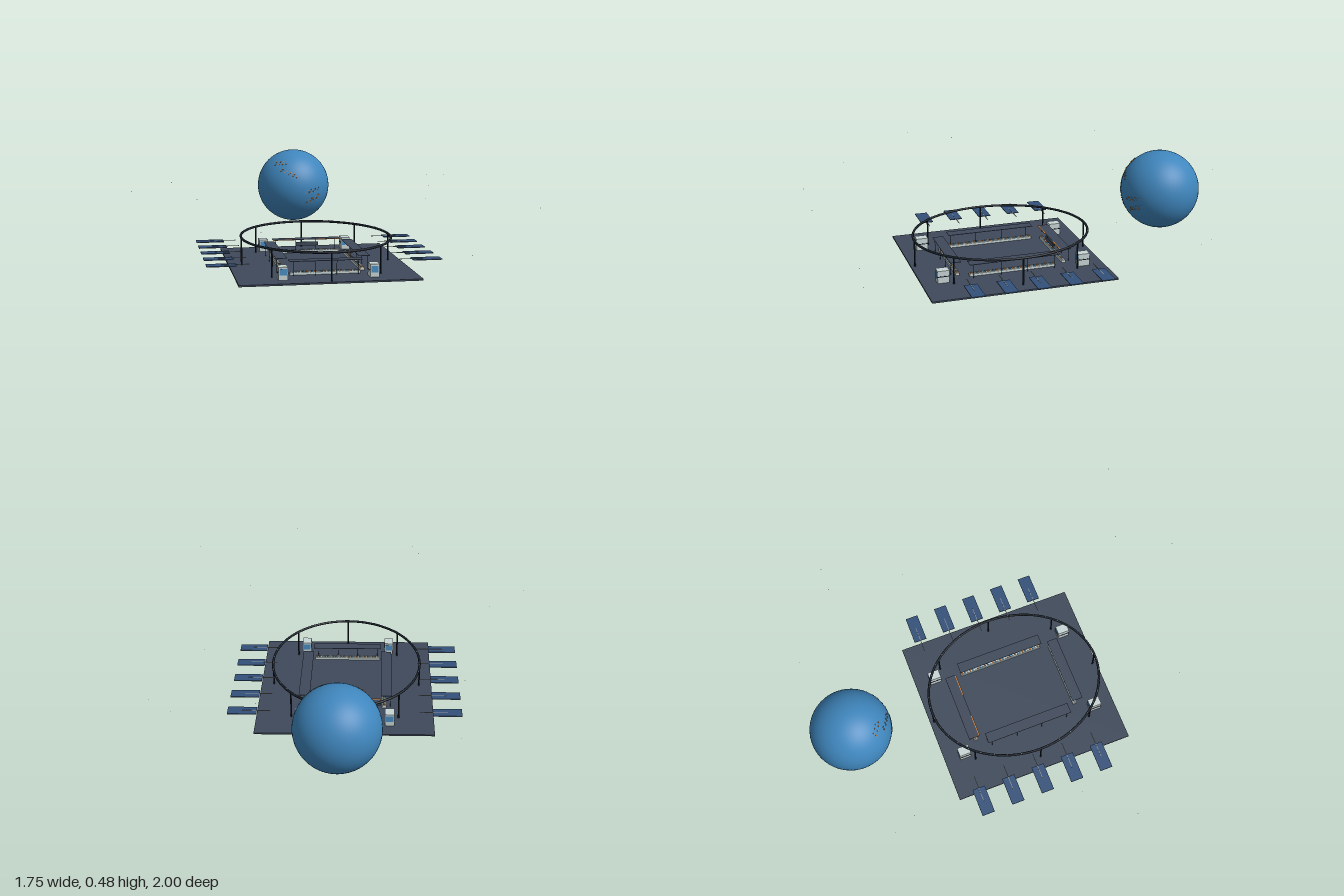
import * as THREE from 'three';

const mat = (name, color) => {
  const m = new THREE.MeshStandardMaterial({ color });
  m.name = name;
  return m;
};

export function createModel() {
  const deckGrey = mat('deckGrey', 0x3f495a);
  const darkMetal = mat('darkMetal', 0x1a222b);
  const cellBlue = mat('cellBlue', 0x34517a);
  const backing = mat('backingGrey', 0x8d8f90);
  const pale = mat('paleWall', 0xc9d6d6);
  const glass = mat('windowBlue', 0x4a8fc4);
  const ocean = mat('oceanBlue', 0x3f86bd);
  const land = mat('landGreen', 0x83ab98);
  const orange = mat('warmOrange', 0xcf7f3d);
  const star = mat('starWhite', 0xe8eaf0);

  const model = new THREE.Group();
  const add = (parent, name, geo, material, x = 0, y = 0, z = 0) => {
    const m = new THREE.Mesh(geo, material);
    m.name = name;
    m.position.set(x, y, z);
    parent.add(m);
    return m;
  };
  const box = (parent, name, w, h, d, material, x, y, z) =>
    add(parent, name, new THREE.BoxGeometry(w, h, d), material, x, y, z);

  const station = new THREE.Group();
  station.name = 'station';
  station.position.set(0.004, 0, 0.04);
  model.add(station);

  // deck
  box(station, 'deck', 0.86, 0.008, 0.916, deckGrey, 0, 0.004, 0);

  // oval ring on eight posts, with small lights on top
  const rx = 0.367, rz = 0.438;
  const oval = (a, y) => new THREE.Vector3(Math.cos(a) * rx, y, Math.sin(a) * rz);
  const path = [];
  for (let i = 0; i < 48; i++) path.push(oval((i / 48) * Math.PI * 2, 0.143));
  add(station, 'ring', new THREE.TubeGeometry(new THREE.CatmullRomCurve3(path, true), 96, 0.006, 8, true), darkMetal);
  for (let i = 0; i < 8; i++) {
    const p = oval((i * Math.PI) / 4, 0.074);
    add(station, 'ringPost', new THREE.CylinderGeometry(0.004, 0.004, 0.136, 8), darkMetal, p.x, p.y, p.z);
  }
  for (let i = 0; i < 40; i++) {
    const p = oval(((i + 0.5) / 40) * Math.PI * 2, 0.149);
    box(station, 'ringLight', 0.003, 0.002, 0.003, star, p.x, p.y, p.z);
  }

  // solar wings on both sides
  for (const s of [-1, 1]) {
    for (let i = -2; i <= 2; i++) {
      const wing = new THREE.Group();
      wing.name = 'solarWing';
      wing.position.set(s * 0.492, 0.066, i * 0.157 - 0.04);
      station.add(wing);
      box(wing, 'panelBacking', 0.14, 0.002, 0.064, backing, 0, -0.001, 0);
      box(wing, 'panelCells', 0.14, 0.002, 0.064, cellBlue, 0, 0.001, 0);
      box(wing, 'panelArm', 0.134, 0.003, 0.003, backing, -s * 0.066, 0.002, 0);
    }
  }

  // corner cabins
  for (const sx of [-1, 1]) {
    for (const sz of [-1, 1]) {
      const cabin = new THREE.Group();
      cabin.name = 'cabin';
      cabin.position.set(sx * 0.216, 0.008, sz * 0.354);
      station.add(cabin);
      box(cabin, 'cabinBody', 0.044, 0.062, 0.058, pale, 0, 0.031, 0);
      for (const f of [-1, 1]) {
        box(cabin, 'cabinWindow', 0.034, 0.03, 0.002, glass, 0, 0.038, f * 0.0295);
        box(cabin, 'cabinBand', 0.002, 0.004, 0.058, darkMetal, f * 0.0225, 0.033, 0);
      }
    }
  }

  // canopied stalls round the court; each stall faces its local +z
  const stall = (length, x, z, turn) => {
    const g = new THREE.Group();
    g.name = 'stall';
    g.position.set(x, 0, z);
    g.rotation.y = turn;
    station.add(g);
    box(g, 'canopy', length, 0.002, 0.054, deckGrey, 0, 0.078, 0);
    box(g, 'counter', length - 0.01, 0.012, 0.02, pale, 0, 0.014, 0.01);
    const posts = 4;
    for (let i = 0; i < posts; i++) {
      const px = (i / (posts - 1) - 0.5) * (length - 0.04);
      box(g, 'canopyPost', 0.002, 0.07, 0.002, darkMetal, px, 0.043, -0.02);
    }
    const n = Math.floor(length / 0.014);
    for (let i = 0; i < n; i++) {
      const px = ((i + 0.5) / n - 0.5) * (length - 0.015);
      box(g, 'goods', 0.008, 0.006, 0.012, [orange, glass, pale][i % 3], px, 0.023, 0.01);
    }
    return g;
  };
  const back = stall(0.35, 0, -0.282, 0);
  stall(0.35, 0, 0.278, Math.PI);
  stall(0.446, -0.201, -0.002, Math.PI / 2);
  stall(0.446, 0.201, -0.002, -Math.PI / 2);

  // board and trim on the back stall
  box(back, 'board', 0.116, 0.02, 0.004, deckGrey, 0, 0.056, 0.024);
  for (const s of [-1, 1]) box(back, 'trim', 0.116, 0.003, 0.006, orange, s * 0.117, 0.078, 0.027);

  // globe
  const R = 0.198;
  const globe = new THREE.Group();
  globe.name = 'globe';
  globe.position.set(0.023, 0.285, -0.802);
  model.add(globe);
  add(globe, 'ocean', new THREE.SphereGeometry(R, 48, 32), ocean);

  // land patches: outlines on the front of the unit sphere, filled in rings
  const onSphere = (x, y, r) =>
    new THREE.Vector3(x, y, Math.sqrt(Math.max(0.02, 1 - x * x - y * y))).setLength(r);
  const patch = (outline) => {
    const pts = outline.map(([x, y]) => onSphere(x, y, 1));
    const centre = pts.reduce((a, p) => a.add(p), new THREE.Vector3()).normalize();
    const edge = new THREE.CatmullRomCurve3(pts, true).getPoints(48);
    const pos = [], idx = [], rings = 8, w = edge.length;
    for (let k = 0; k <= rings; k++) {
      for (const e of edge) pos.push(...centre.clone().lerp(e, k / rings).setLength(R * 1.008).toArray());
    }
    for (let k = 0; k < rings; k++) {
      for (let j = 0; j < w - 1; j++) {
        const a = k * w + j, b = a + 1, c = a + w, d = c + 1;
        if (k > 0) idx.push(a, b, c);
        idx.push(b, d, c);
      }
    }
    const g = new THREE.BufferGeometry();
    g.setAttribute('position', new THREE.Float32BufferAttribute(pos, 3));
    g.setIndex(idx.reverse());
    g.computeVertexNormals();
    add(globe, 'continent', g, land);
  };
  patch([[-0.71, 0.43], [-0.59, 0.63], [-0.28, 0.65], [0.04, 0.55], [0.16, 0.36], [0, 0.19], [0.08, -0.07],
    [0.2, -0.27], [0.13, -0.5], [-0.08, -0.55], [-0.3, -0.46], [-0.42, -0.17], [-0.64, 0.02]]);
  patch([[0.13, 0.7], [0.3, 0.8], [0.59, 0.77], [0.76, 0.53], [0.71, 0.22], [0.52, 0.12], [0.23, 0.17], [0.13, 0.29]]);
  patch([[0.3, -0.31], [0.47, -0.14], [0.59, -0.27], [0.64, -0.46], [0.45, -0.58], [0.3, -0.5]]);

  // city lights in zigzag rows
  const cities = (x0, y0, x1, y1, n) => {
    for (let i = 0; i < n; i++) {
      const t = i / (n - 1), wave = i % 2 ? 0.03 : -0.03;
      const p = onSphere(x0 + (x1 - x0) * t, y0 + (y1 - y0) * t + wave, R * 1.012);
      const m = box(globe, 'cityLight', 0.006, 0.006, 0.003, orange, p.x, p.y, p.z);
      m.quaternion.setFromUnitVectors(new THREE.Vector3(0, 0, 1), p.clone().normalize());
    }
  };
  cities(-0.58, 0.66, -0.3, 0.7, 7);
  cities(-0.45, 0.52, -0.05, 0.36, 9);
  cities(0.2, -0.08, 0.6, -0.02, 8);
  cities(0.25, -0.36, 0.58, -0.22, 8);

  // distant stars
  const stars = [[-0.53, 0.45, -0.66], [-0.52, 0.22, -0.77], [0.36, 0.48, -0.92], [0.77, 0.28, -0.67],
    [0.86, 0.34, -0.67], [-0.34, 0.46, 0.75], [0.56, 0.18, 0.83], [-0.38, 0.33, 0.95], [0.84, 0.39, 0.89],
    [-0.89, 0.42, 0.3], [0.66, 0.39, -0.3], [-0.7, 0.43, 0.1], [0.3, 0.46, 0.998]];
  for (const [x, y, z] of stars) add(model, 'star', new THREE.OctahedronGeometry(0.002), star, x, y, z);

  return model;
}
